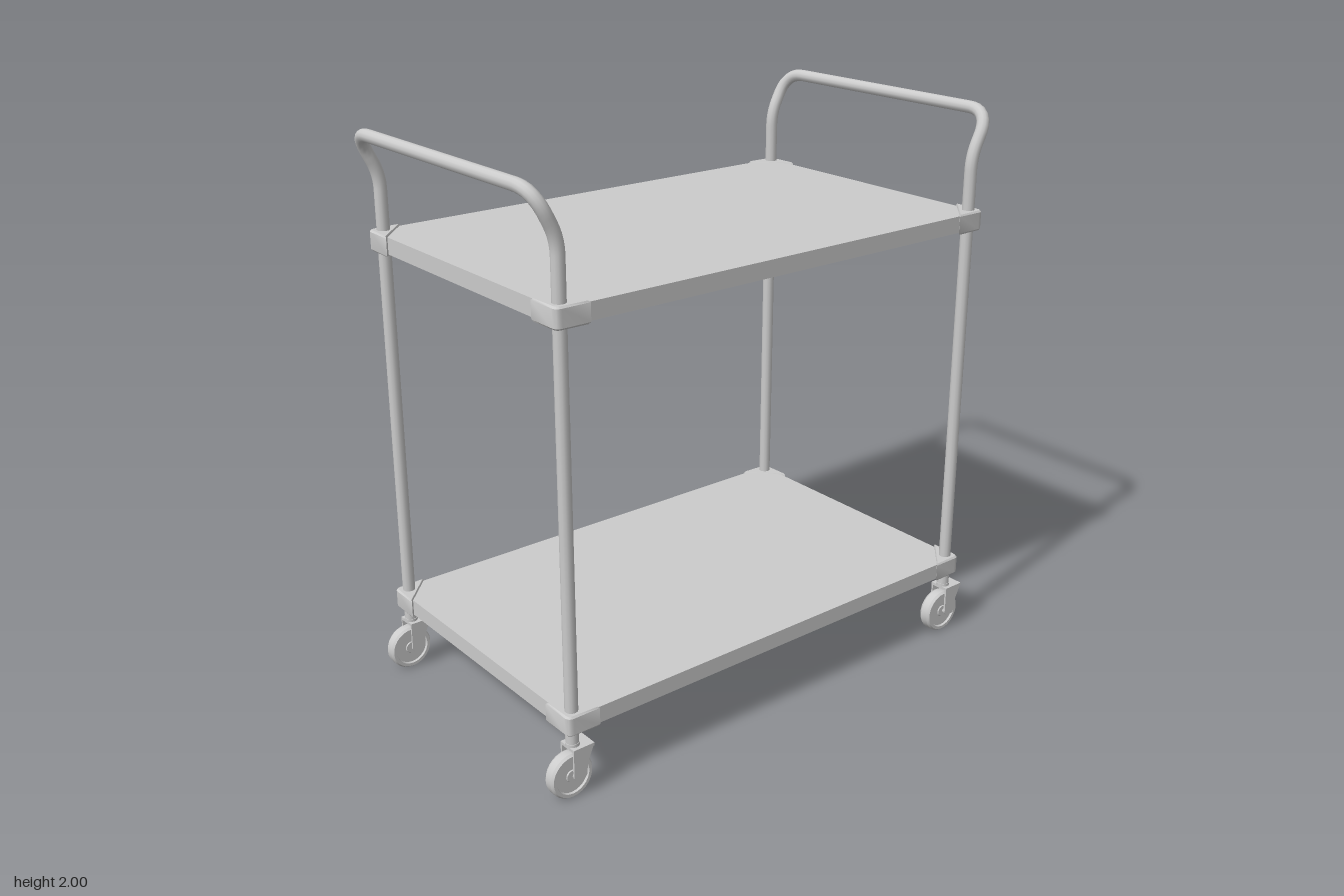
import * as THREE from 'three';
import { toCreasedNormals } from 'three/addons/utils/BufferGeometryUtils.js';

const POST_X = 0.858, POST_Z = 0.513, TUBE_R = 0.022;
const grey = new THREE.MeshStandardMaterial({ color: 0xcccccc });

function part(parent, name, geometry, x = 0, y = 0, z = 0) {
  const mesh = new THREE.Mesh(geometry, grey);
  mesh.name = name;
  mesh.position.set(x, y, z);
  parent.add(mesh);
  return mesh;
}

// Path through corner points, each inner corner rounded by its own trim length
function roundedPath(points, trims) {
  const path = new THREE.CurvePath();
  let start = points[0];
  for (let i = 1; i < points.length - 1; i++) {
    const p = points[i], t = trims[i - 1];
    const a = p.clone().add(points[i - 1].clone().sub(p).setLength(t));
    const b = p.clone().add(points[i + 1].clone().sub(p).setLength(t));
    path.add(new THREE.LineCurve3(start, a));
    path.add(new THREE.QuadraticBezierCurve3(a, p, b));
    start = b;
  }
  path.add(new THREE.LineCurve3(start, points[points.length - 1]));
  return path;
}

// Two posts and the push handle, bent from one tube
function frameGeometry(s) {
  const v = (x, y, z) => new THREE.Vector3(s * x, y, z);
  const path = roundedPath([
    v(POST_X, 0.18, POST_Z), v(POST_X, 1.83, POST_Z), v(0.934, 1.978, POST_Z),
    v(0.934, 1.978, -POST_Z), v(POST_X, 1.83, -POST_Z), v(POST_X, 0.18, -POST_Z),
  ], [0.05, 0.09, 0.09, 0.05]);
  return new THREE.TubeGeometry(path, 240, TUBE_R, 12);
}

// Triangular corner clamp with bevelled rims
function bracketGeometry(sx, sz) {
  const shape = new THREE.Shape();
  const p = (x, z) => [sx * x, -sz * z];
  shape.moveTo(...p(0.775, 0.551));
  shape.lineTo(...p(0.873, 0.551));
  shape.quadraticCurveTo(...p(0.896, 0.551), ...p(0.896, 0.528));
  shape.lineTo(...p(0.896, 0.425));
  shape.closePath();
  const b = 0.006;
  const geo = new THREE.ExtrudeGeometry(shape, {
    depth: 0.071 - 2 * b, bevelThickness: b, bevelSize: b, bevelOffset: -b,
    bevelSegments: 1, curveSegments: 6,
  });
  geo.rotateX(-Math.PI / 2).translate(0, b, 0);
  return toCreasedNormals(geo, 0.5);
}

// Wheel turned around the z axis, with a raised tyre and recessed disc
function wheelGeometry() {
  const profile = [[0, -0.02], [0.02, -0.02], [0.022, -0.016], [0.06, -0.016], [0.063, -0.023],
    [0.074, -0.023], [0.08, -0.014], [0.08, 0.014], [0.074, 0.023], [0.063, 0.023],
    [0.06, 0.016], [0.022, 0.016], [0.02, 0.02], [0, 0.02]];
  const geo = new THREE.LatheGeometry(profile.map(([r, y]) => new THREE.Vector2(r, y)), 28);
  return toCreasedNormals(geo.rotateX(Math.PI / 2), 0.5);
}

// Side cheek of the caster fork
function cheekGeometry() {
  const outline = [[-0.02, 0.182], [-0.02, 0.08], [-0.012, 0.067], [0.02, 0.067],
    [0.03, 0.08], [0.032, 0.12], [0.06, 0.182]];
  const shape = new THREE.Shape(outline.map(([x, y]) => new THREE.Vector2(x, y)));
  return new THREE.ExtrudeGeometry(shape, { depth: 0.007, bevelEnabled: false });
}

function caster() {
  const group = new THREE.Group();
  group.name = 'caster';
  part(group, 'wheel', wheelGeometry(), -0.016, 0.08, 0);
  part(group, 'forkTop', new THREE.BoxGeometry(0.08, 0.01, 0.074), 0.02, 0.178, 0);
  part(group, 'swivelCollar', new THREE.CylinderGeometry(0.024, 0.024, 0.012, 16), 0, 0.187, 0);
  for (const z of [0.03, -0.037]) part(group, 'forkCheek', cheekGeometry(), 0, 0, z);
  const axle = new THREE.CylinderGeometry(0.01, 0.01, 0.072, 12).rotateX(Math.PI / 2);
  part(group, 'axle', axle, -0.006, 0.08, 0);
  return group;
}

export function createModel() {
  const model = new THREE.Group();
  model.name = 'serviceTrolley';

  // Shelves with their corner clamps
  for (const [name, y] of [['lowerShelf', 0.236], ['upperShelf', 1.572]]) {
    const shelf = new THREE.Group();
    shelf.name = name;
    shelf.position.y = y;
    part(shelf, 'panel', new THREE.BoxGeometry(1.77, 0.058, 1.09), 0, 0.036, 0);
    for (const sx of [-1, 1]) for (const sz of [-1, 1])
      part(shelf, 'cornerBracket', bracketGeometry(sx, sz));
    model.add(shelf);
  }

  // End frames, and casters all trailing the same way
  for (const sx of [-1, 1]) {
    part(model, 'postsAndHandle', frameGeometry(sx));
    for (const sz of [-1, 1]) {
      const c = caster();
      c.position.set(sx * POST_X, 0, sz * POST_Z);
      model.add(c);
    }
  }
  return model;
}
